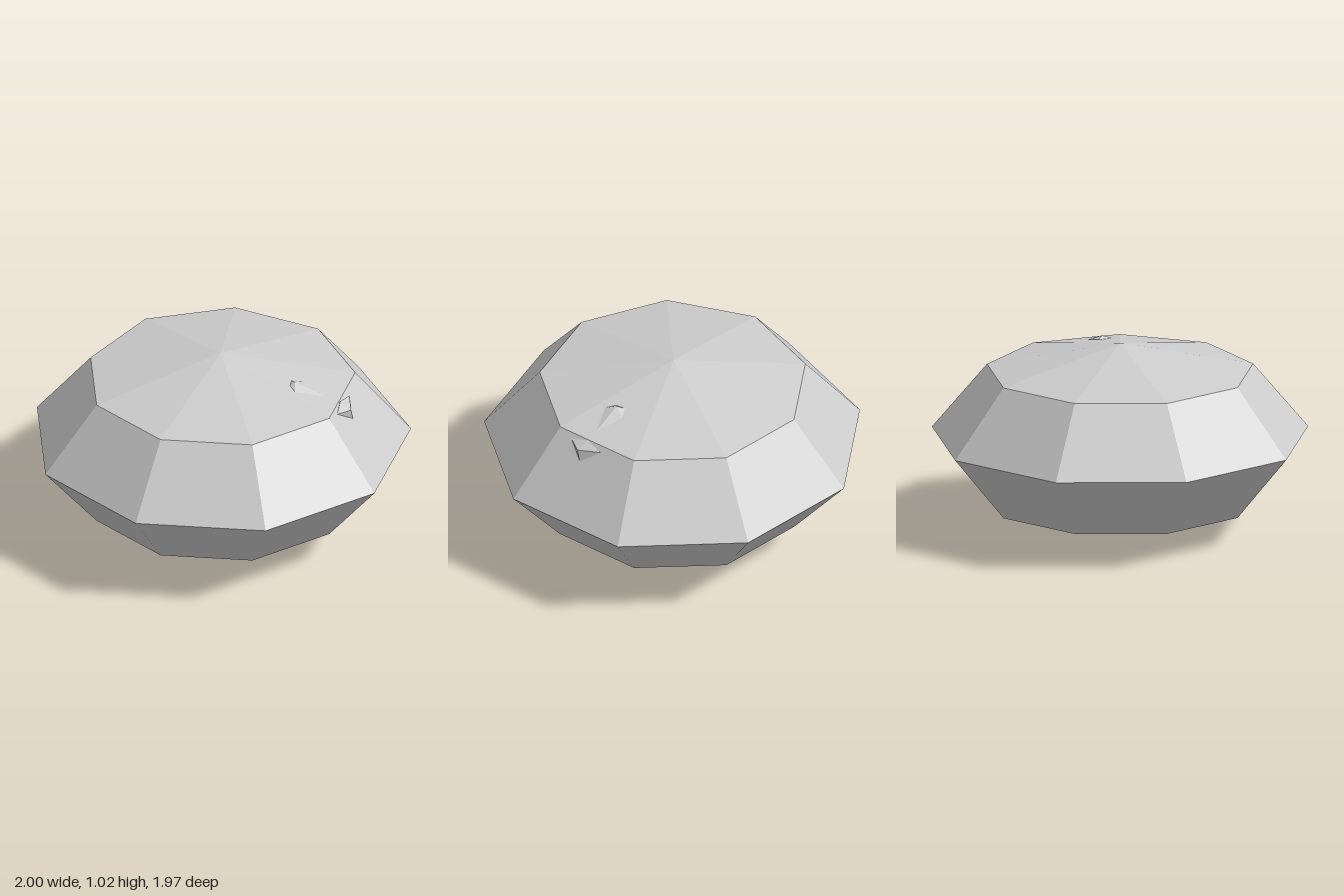
import * as THREE from 'three';
import { ConvexGeometry } from 'three/addons/geometries/ConvexGeometry.js';

export function createModel() {
  const model = new THREE.Group();
  model.name = 'stone';

  const stoneGrey = new THREE.MeshStandardMaterial({ color: 0xcccccc, flatShading: true });
  stoneGrey.name = 'stoneGrey';

  const add = (name, geometry) => {
    const mesh = new THREE.Mesh(geometry, stoneGrey);
    mesh.name = name;
    model.add(mesh);
    return mesh;
  };

  // Flattened nine-sided body, one corner pointing straight back
  const radius = 1 / Math.cos(Math.PI / 18);
  const body = add('body', new THREE.SphereGeometry(radius, 9, 4, -Math.PI / 2).scale(1, 0.5, 1).toNonIndexed());
  body.geometry.computeVertexNormals();
  body.position.set(0, radius / 2, 0.03);

  // Small faceted chips, their roots sunk into the body
  const chip = (name, points) =>
    add(name, new ConvexGeometry(points.map((p) => new THREE.Vector3(...p))));

  chip('sideChip', [
    [0.585, 0.845, -0.36], [0.68, 0.845, -0.18], [0.62, 0.866, -0.26],
    [0.68, 0.77, -0.295], [0.685, 0.832, -0.275], [0.58, 0.81, -0.25],
  ]);
  chip('topChip', [
    [0.36, 0.927, -0.15], [0.4, 0.914, -0.21], [0.55, 0.883, -0.22],
    [0.45, 0.915, -0.09], [0.39, 0.924, -0.105], [0.4, 0.941, -0.135],
    [0.44, 0.87, -0.15],
  ]);

  return model;
}
